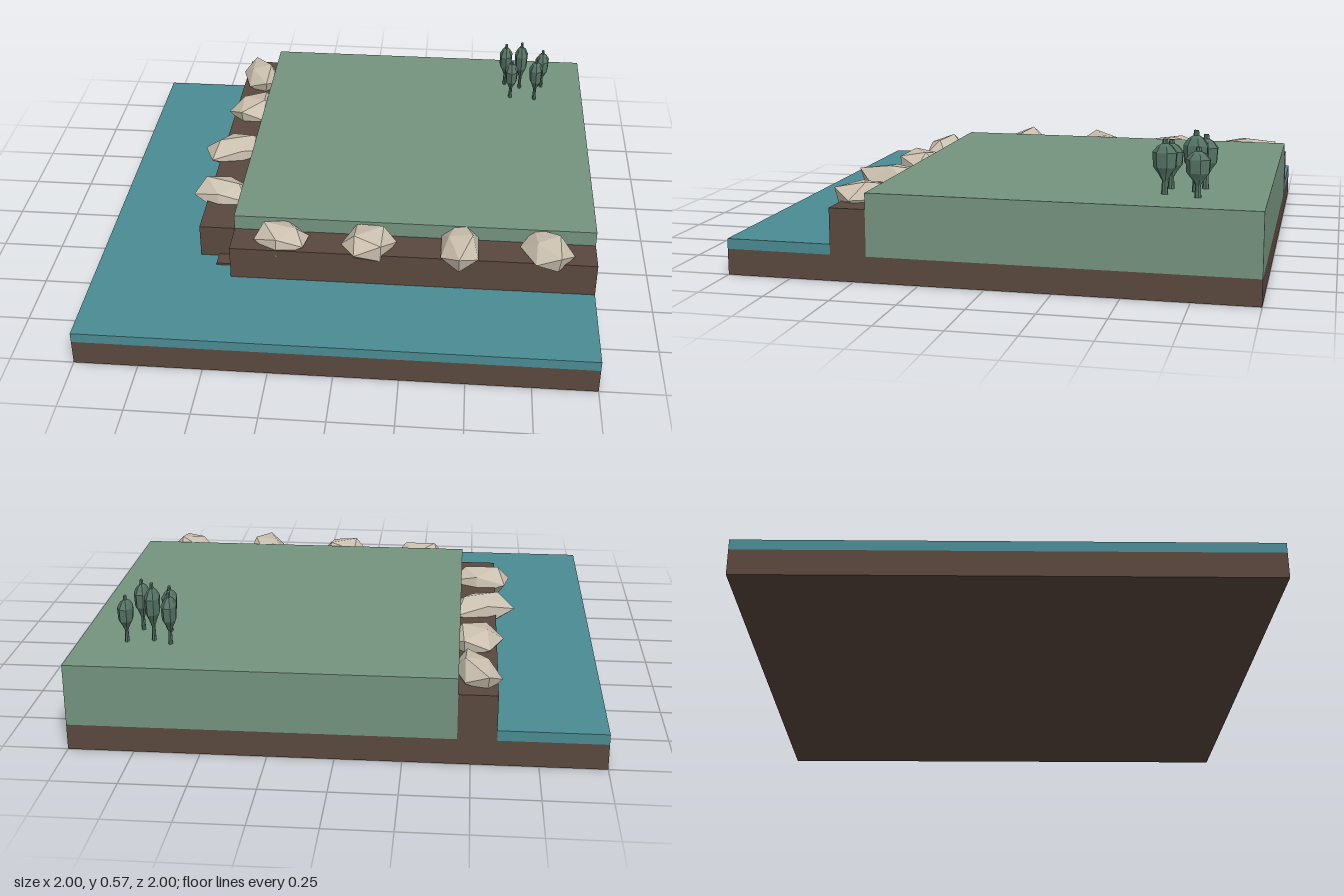
import * as THREE from 'three';

const mat = (name, color, flatShading = false) => {
  const m = new THREE.MeshStandardMaterial({ color, flatShading });
  m.name = name;
  return m;
};

// Box given by its x, y and z ranges
function slab(name, material, [x0, x1], [y0, y1], [z0, z1]) {
  const mesh = new THREE.Mesh(new THREE.BoxGeometry(x1 - x0, y1 - y0, z1 - z0), material);
  mesh.position.set((x0 + x1) / 2, (y0 + y1) / 2, (z0 + z1) / 2);
  mesh.name = name;
  return mesh;
}

// Low-poly boulder: an icosahedron whose corners are nudged by a repeatable rule
function rockGeometry(seed, hx, hy, hz, yaw) {
  const geo = new THREE.IcosahedronGeometry(1, 0);
  const p = geo.attributes.position;
  const v = new THREE.Vector3();
  for (let i = 0; i < p.count; i++) {
    v.fromBufferAttribute(p, i);
    const n = Math.sin(Math.round(v.x * 10) * 12.9 + Math.round(v.y * 10) * 78.2 + Math.round(v.z * 10) * 37.7 + seed * 5.3);
    v.multiplyScalar(1 + 0.1 * n);
    p.setXYZ(i, v.x * hx, v.y * hy, v.z * hz);
  }
  geo.rotateY(yaw);
  geo.computeVertexNormals();
  return geo;
}

export function createModel() {
  const model = new THREE.Group();
  const earth = mat('earth', 0x5a483e);
  const water = mat('water', 0x4b8b93);
  const grass = mat('grass', 0x75947f);
  const stone = mat('stone', 0xcbc0af, true);
  const leaf = mat('treeGreen', 0x557465, true);

  // Ground, L-shaped water and raised land
  model.add(
    slab('base', earth, [-1, 1], [0, 0.1], [-1, 1]),
    slab('waterFront', water, [-1, 1], [0.1, 0.14], [0.59, 1]),
    slab('waterSide', water, [-1, -0.595], [0.1, 0.14], [-1, 0.59]),
    slab('waterCorner', water, [-0.595, -0.45], [0.1, 0.14], [0.45, 0.59]),
    slab('grassPlateau', grass, [-0.45, 1], [0.1, 0.34], [-1, 0.45]),
    slab('bankFront', earth, [-0.45, 1], [0.1, 0.278], [0.45, 0.59]),
    slab('bankSide', earth, [-0.595, -0.45], [0.1, 0.278], [-1, 0.45]),
    slab('bankCorner', earth, [-0.52, -0.45], [0.1, 0.148], [0.45, 0.515])
  );

  // Boulders along both banks: x, z, half sizes, turn
  const rocks = [
    [-0.52, -0.82, 0.085, 0.15, 0.3],
    [-0.51, -0.51, 0.1, 0.125, -0.4],
    [-0.53, -0.15, 0.14, 0.1, 0.4],
    [-0.53, 0.2, 0.135, 0.095, -0.2],
    [-0.25, 0.51, 0.13, 0.09, -0.2],
    [0.1, 0.52, 0.13, 0.105, 0.6],
    [0.46, 0.52, 0.09, 0.155, 0],
    [0.805, 0.52, 0.095, 0.125, 0.45]
  ];
  rocks.forEach(([x, z, hx, hz, yaw], i) => {
    const rock = new THREE.Mesh(rockGeometry(i, hx, 0.068, hz, yaw), stone);
    rock.position.set(x, 0.288, z);
    rock.name = 'rock';
    model.add(rock);
  });

  // Grove of slim trees, each one turned profile from trunk to tip
  const profile = [
    [0, 0], [0.014, 0], [0.011, 0.05], [0.026, 0.075], [0.046, 0.1],
    [0.05, 0.155], [0.03, 0.178], [0.012, 0.188], [0.01, 0.205], [0, 0.205]
  ].map(([r, y]) => new THREE.Vector2(r, y));
  const treeGeo = new THREE.LatheGeometry(profile, 7);
  const trees = [
    [0.645, -0.76, 0.545], [0.715, -0.73, 0.57], [0.815, -0.75, 0.525],
    [0.67, -0.635, 0.525], [0.78, -0.625, 0.545]
  ];
  for (const [x, z, top] of trees) {
    const tree = new THREE.Mesh(treeGeo, leaf);
    tree.position.set(x, 0.34, z);
    tree.scale.set(0.6, (top - 0.34) / 0.205, 0.95);
    tree.name = 'tree';
    model.add(tree);
  }
  return model;
}
